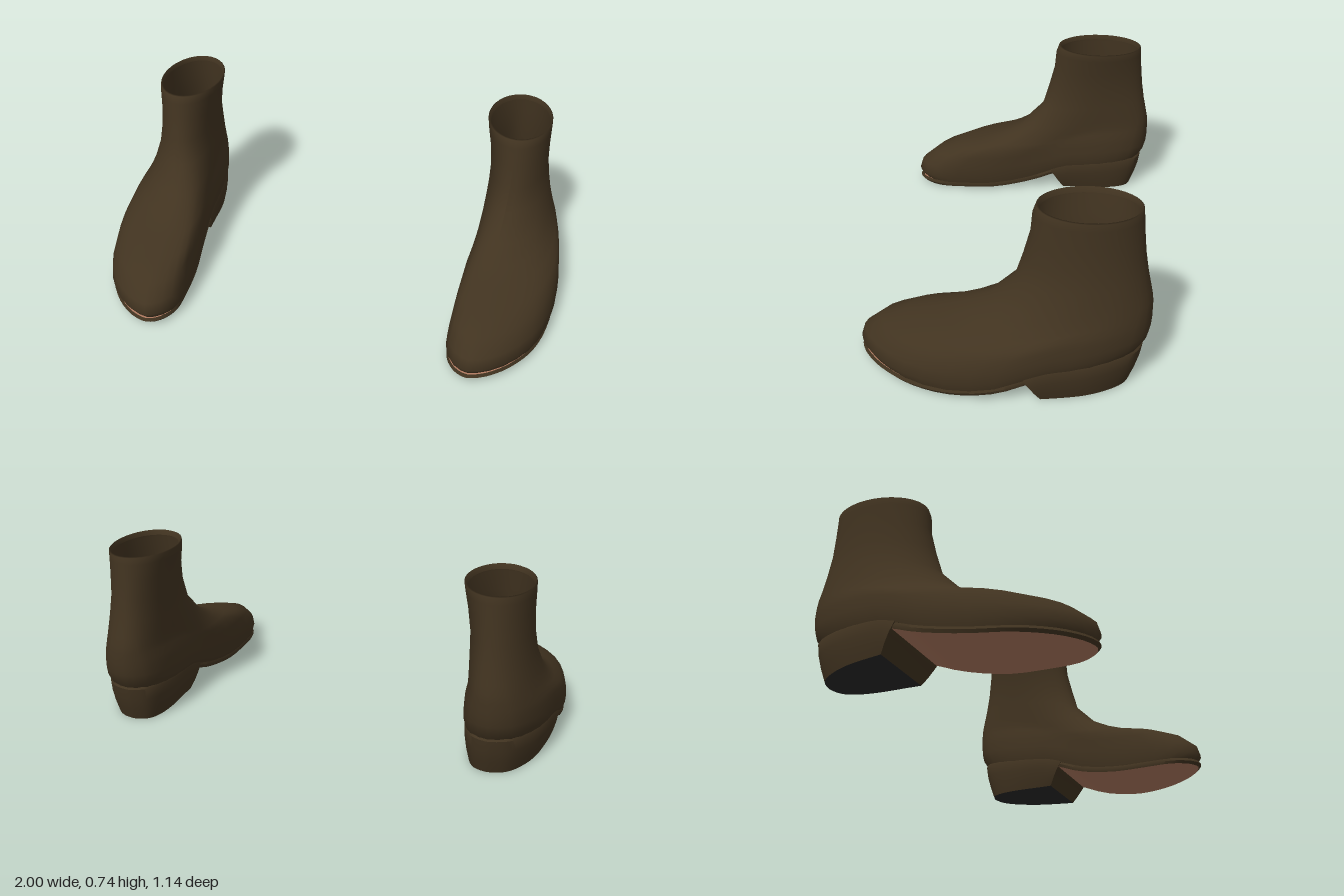
import * as THREE from 'three';
import { mergeVertices, toCreasedNormals } from 'three/addons/utils/BufferGeometryUtils.js';

const mix = THREE.MathUtils.lerp;
const N = 18; // steps along each side of an outline

// Outline tables, sampled evenly in t from the back (0) to the toe (1)
const INNER = [0.76, 0.69, 0.65, 0.63, 0.625, 0.615, 0.592, 0.583, 0.587, 0.632, 0.69];
const OUTER = [0.76, 0.84, 0.9, 0.95, 0.98, 1.0, 0.985, 0.94, 0.86, 0.768, 0.69];
const BASE = [0.16, 0.16, 0.152, 0.14, 0.125, 0.066, 0.036, 0.033, 0.035, 0.036, 0.036];
const HEEL_END = 0.44;

function sample(table, t) {
  const f = Math.min(t * 10, 9.9999), i = Math.floor(f), u = f - i;
  const a = table[Math.max(i - 1, 0)], b = table[i], c = table[i + 1], d = table[Math.min(i + 2, 10)];
  return b + 0.5 * u * (c - a + u * (2 * a - 5 * b + 4 * c - d + u * (3 * (b - c) + d - a)));
}
const along = (t) => (1 - Math.cos(Math.PI * t)) / 2;

// Closed loop: inner side back to front, then outer side front to back
function loop(t0, t1, point) {
  const ring = [];
  for (let i = 0; i <= N; i++) ring.push(point(mix(t0, t1, i / N), 0));
  for (let i = N; i >= 0; i--) ring.push(point(mix(t0, t1, i / N), 1));
  return ring;
}

function makeGeometry(points, faces, side) {
  const geo = new THREE.BufferGeometry();
  const pos = points.flatMap(([x, y, z]) => [x * side, y, z]);
  geo.setAttribute('position', new THREE.Float32BufferAttribute(pos, 3));
  geo.setIndex(faces.flatMap(([a, b, c]) => (side > 0 ? [a, b, c] : [a, c, b])));
  const merged = mergeVertices(geo, 1e-4);
  merged.computeVertexNormals();
  return merged;
}

// Wall through a stack of loops, listed bottom to top
function loft(rings, side) {
  const n = rings[0].length, faces = [];
  for (let r = 0; r < rings.length - 1; r++) {
    for (let j = 0; j < n; j++) {
      const a = r * n + j, b = r * n + ((j + 1) % n);
      faces.push([a, b, b + n], [a, b + n, a + n]);
    }
  }
  return makeGeometry(rings.flat(), faces, side);
}

// Downward face across one loop
function bottomFace(ring, side) {
  const faces = [], last = ring.length - 1;
  for (let i = 0; i < N; i++) {
    faces.push([i, last - i, last - i - 1], [i, last - i - 1, i + 1]);
  }
  return makeGeometry(ring, faces, side);
}

// Upper rings: front z, front y, back z, back y, blend to collar, inner pinch, width
const UPPER = [
  [0.55, 0.034, -0.535, 0.16, 0, 0, 0.96],
  [0.57, 0.062, -0.558, 0.195, 0, 0, 1],
  [0.555, 0.11, -0.567, 0.23, 0.02, 0, 1],
  [0.485, 0.167, -0.57, 0.27, 0.08, 0.005, 1],
  [0.38, 0.207, -0.57, 0.3, 0.2, 0.01, 1],
  [0.26, 0.232, -0.57, 0.33, 0.36, 0.02, 1],
  [0.155, 0.268, -0.568, 0.36, 0.5, 0.027, 1],
  [0.05, 0.32, -0.56, 0.4, 0.66, 0.03, 1],
  [-0.05, 0.42, -0.545, 0.47, 0.85, 0.033, 1],
  [-0.08, 0.52, -0.532, 0.55, 0.97, 0.033, 1],
  [-0.106, 0.62, -0.523, 0.64, 1, 0.02, 1],
  [-0.113, 0.7, -0.518, 0.705, 1, 0.005, 1],
  [-0.125, 0.734, -0.516, 0.735, 1, 0, 1],
  // turned edge of the collar
  [-0.132, 0.737, -0.51, 0.738, 1, 0, 0.96],
  [-0.138, 0.715, -0.507, 0.715, 1, 0.005, 0.94],
];

function upperRing([zf, yf, zb, yb, blend, pinch, width], k) {
  const sag = Math.max(0, 1 - k / 8);
  return loop(0, 1, (t, outer) => {
    const s = along(t), bulge = Math.sin(Math.PI * t);
    const xi = mix(sample(INNER, t), 0.745 - 0.138 * bulge, blend) + pinch * bulge;
    const xo = mix(sample(OUTER, t), 0.745 + 0.135 * bulge, blend);
    const x = (xi + xo) / 2 + (outer ? 1 : -1) * width * (xo - xi) / 2;
    const y = mix(yb, yf, s) + sag * (sample(BASE, t) - mix(0.16, 0.036, s));
    return [x, y, mix(zb, zf, s)];
  });
}

// Outline point of the sole, narrowed by a width factor
function soleX(t, outer, width) {
  const xi = sample(INNER, t), xo = sample(OUTER, t);
  return (xi + xo) / 2 + (outer ? 1 : -1) * width * (xo - xi) / 2;
}

function makeBoot(side, mats) {
  const boot = new THREE.Group();
  boot.name = side > 0 ? 'leftBoot' : 'rightBoot';
  const add = (name, geo, mat) => {
    const mesh = new THREE.Mesh(geo, mat);
    mesh.name = name;
    boot.add(mesh);
  };

  add('upper', loft(UPPER.map(upperRing), side), mats.leather);

  // Thin front sole: edge and underside
  const soleRing = (drop, width, toe) => loop(HEEL_END - 0.03, 1, (t, o) =>
    [soleX(t, o, width), sample(BASE, t) - drop, mix(-0.545, toe, along(t))]);
  const soleBottom = soleRing(0.025, 0.94, 0.555);
  const soleRings = [soleBottom, soleRing(0.013, 0.965, 0.568), soleRing(0, 0.94, 0.56)];
  add('soleEdge', toCreasedNormals(loft(soleRings, side), 0.7), mats.leather);
  add('soleUnderside', bottomFace(soleBottom, side), mats.sole);

  // Stacked heel, curving in from the seat to the ground:
  // back z, front z, width, blend to level, level
  const endS = along(HEEL_END);
  const heelRings = [
    [-0.5, -0.163, 0.82, 1, 0],
    [-0.52, -0.142, 0.9, 0.66, 0],
    [-0.535, -0.122, 0.95, 0.33, 0],
    [-0.543, -0.1, 0.975, 0.05, 0.1],
    [-0.535, -0.1, 0.95, 0.1, 0.23],
  ].map(([zb, zf, width, flat, level]) => loop(0, HEEL_END, (t, o) =>
    [soleX(t, o, width), mix(sample(BASE, t), level, flat), mix(zb, zf, along(t) / endS)]));
  add('heel', toCreasedNormals(loft(heelRings, side), 0.7), mats.leather);
  add('heelTip', bottomFace(heelRings[0], side), mats.rubber);
  return boot;
}

export function createModel() {
  const material = (name, color) => {
    const m = new THREE.MeshStandardMaterial({ color, side: THREE.DoubleSide });
    m.name = name;
    return m;
  };
  const mats = {
    leather: material('dark brown leather', 0x413320),
    sole: material('tan brown sole', 0xb07a60),
    rubber: material('black rubber', 0x282828),
  };
  const model = new THREE.Group();
  model.name = 'ankleBoots';
  model.add(makeBoot(1, mats), makeBoot(-1, mats));
  return model;
}
